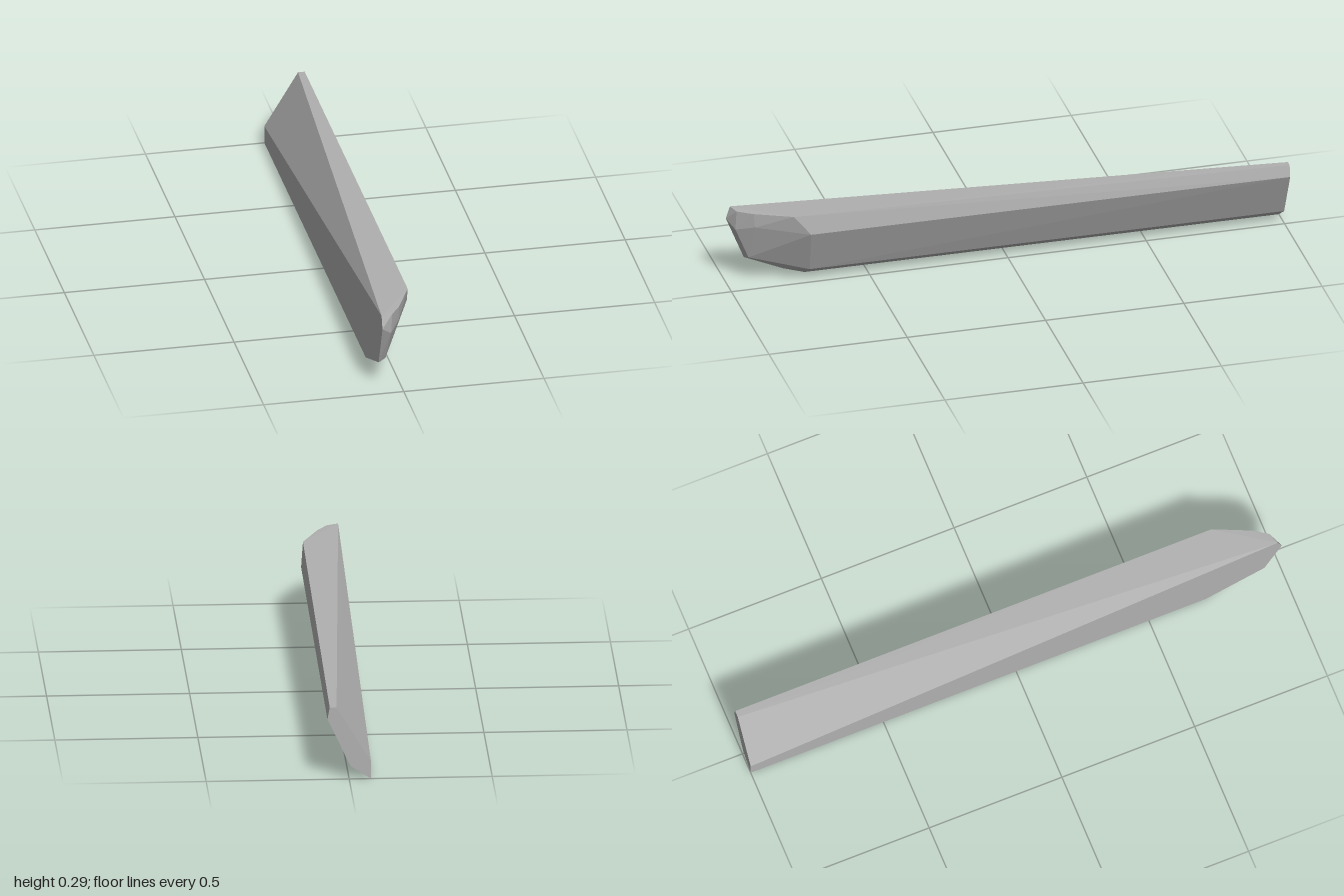
import * as THREE from 'three';
import { ConvexGeometry } from 'three/addons/geometries/ConvexGeometry.js';

export function createModel() {
  const group = new THREE.Group();
  group.name = 'facetedBar';
  const grey = new THREE.MeshStandardMaterial({ color: 0xb0b0b0 });
  grey.name = 'grey';

  // flat rear end, cut off square, with a bevelled inner shoulder
  const rear = [
    [0.068, 0.263, -1], [0.044, 0.263, -1], [-0.076, 0.065, -1],
    [-0.076, 0, -1], [-0.005, 0.047, -1], [0.076, 0.22, -1],
  ];
  // where the long faces end and the nose starts
  const shoulder = [
    [0.058, 0.293, 0.79], [0.068, 0.22, 0.73],
    [-0.007, 0.047, 0.715], [-0.076, 0.002, 0.715],
  ];
  // chipped, rounded nose
  const nose = [
    [0, 0.293, 0.92], [0, 0.24, 0.915], [-0.035, 0.293, 0.972],
    [-0.04, 0.22, 0.975], [-0.05, 0.1, 0.925], [-0.045, 0.043, 0.8],
    [-0.076, 0.295, 0.985], [-0.076, 0.25, 1], [-0.076, 0.09, 0.935],
  ];

  const points = [...rear, ...shoulder, ...nose].map((p) => new THREE.Vector3(...p));
  const bar = new THREE.Mesh(new ConvexGeometry(points), grey);
  bar.name = 'bar';
  group.add(bar);
  return group;
}
